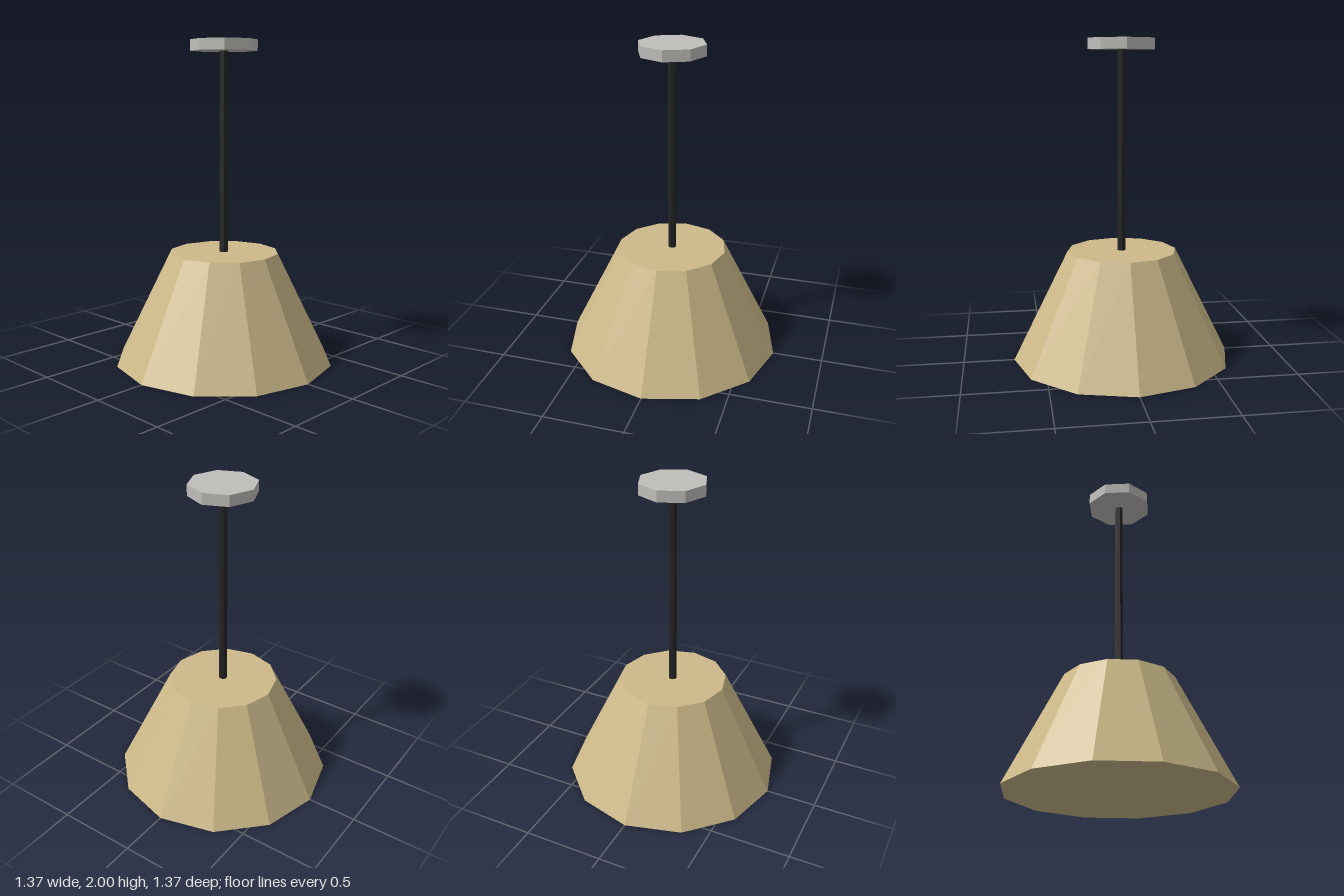
import * as THREE from 'three';

export function createModel() {
  const lamp = new THREE.Group();
  lamp.name = 'pendantLamp';

  const material = (name, color) => {
    const m = new THREE.MeshStandardMaterial({ color, flatShading: true });
    m.name = name;
    return m;
  };
  const beige = material('beigeShade', 0xcdba8a);
  const black = material('blackRod', 0x242424);
  const grey = material('greyMetal', 0xc0beba);

  // Faceted cylinder or cone spanning bottom to top
  const addRound = (name, rTop, rBottom, bottom, top, sides, mat) => {
    const geometry = new THREE.CylinderGeometry(rTop, rBottom, top - bottom, sides);
    const mesh = new THREE.Mesh(geometry, mat);
    mesh.name = name;
    mesh.position.y = (bottom + top) / 2;
    lamp.add(mesh);
  };

  // Closed twelve-sided shade
  addRound('shade', 0.343, 0.686, 0, 0.69, 12, beige);
  // Hanging rod
  addRound('rod', 0.026, 0.026, 0.69, 1.935, 8, black);
  // Eight-sided ceiling mount
  addRound('ceilingMount', 0.206, 0.206, 1.932, 2, 8, grey);

  return lamp;
}
